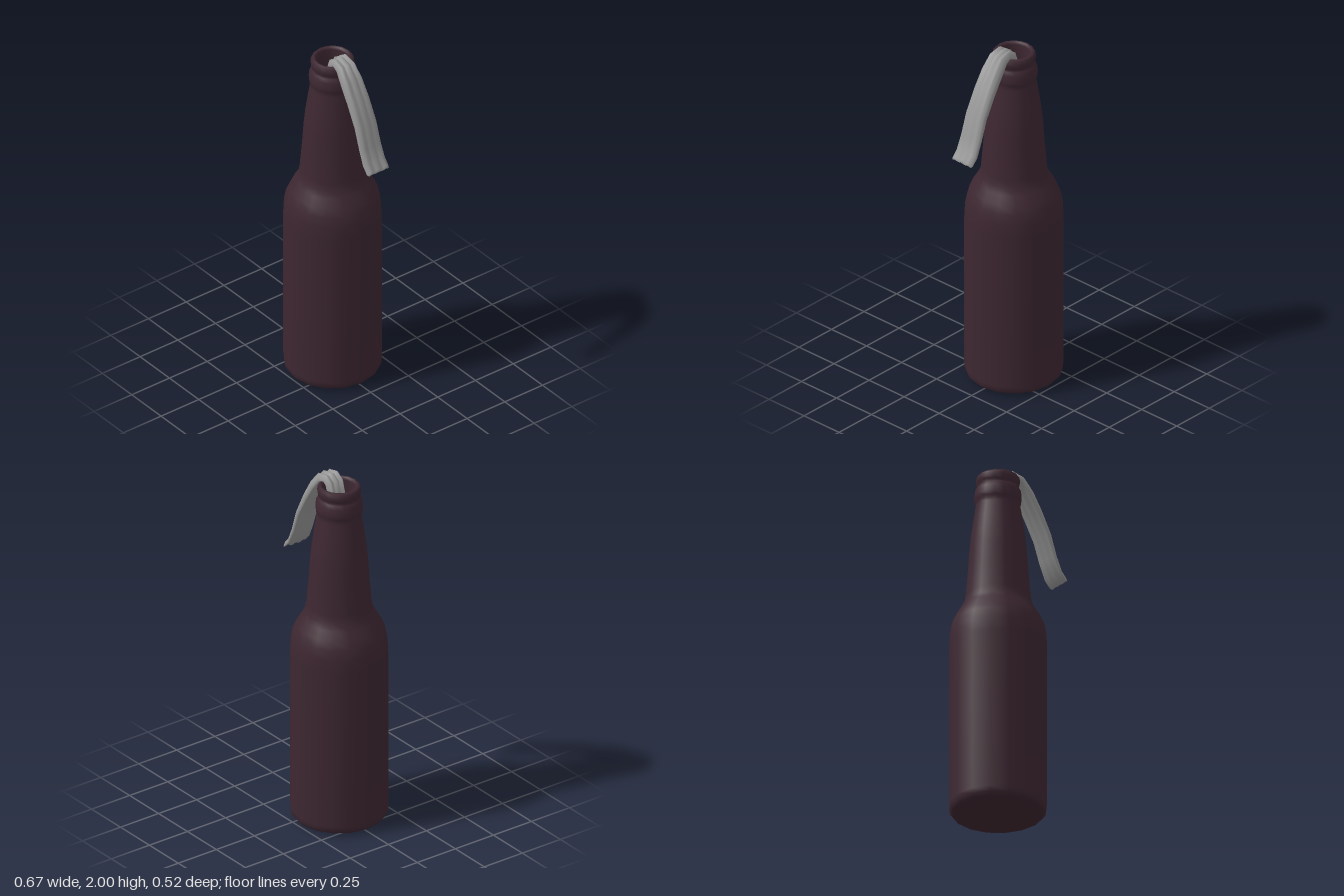
import * as THREE from 'three';

const AXIS_X = -0.075;
const SIDES = 16;

// Closed cloth strip lofted along rows of [x, y, halfWidth, halfThickness, foldDepth]
function clothGeometry(rows, around = 28) {
  const pos = [], index = [];
  rows.forEach(([x, y, hw, th, fold], i) => {
    const a = rows[Math.max(i - 1, 0)], b = rows[Math.min(i + 1, rows.length - 1)];
    const len = Math.hypot(b[0] - a[0], b[1] - a[1]);
    const tx = (b[0] - a[0]) / len, ty = (b[1] - a[1]) / len;
    for (let j = 0; j < around; j++) {
      const t = (j / around) * Math.PI * 2;
      const u = Math.cos(t), s = Math.sin(t);
      const v = Math.sign(s) * Math.pow(Math.abs(s), 0.6) * th + fold * Math.cos(3 * Math.PI * u);
      pos.push(x - ty * v, y + tx * v, u * hw + 0.003);
    }
  });
  for (let i = 0; i < rows.length - 1; i++) {
    for (let j = 0; j < around; j++) {
      const k = (j + 1) % around;
      const a = i * around + j, b = a + around, c = i * around + k, d = c + around;
      index.push(a, b, c, b, d, c);
    }
  }
  const geo = new THREE.BufferGeometry();
  geo.setAttribute('position', new THREE.Float32BufferAttribute(pos, 3));
  geo.setIndex(index);
  geo.computeVertexNormals();
  return geo;
}

export function createModel() {
  const group = new THREE.Group();
  group.name = 'bottleWithRag';

  const glass = new THREE.MeshStandardMaterial({ color: 0x3d2731 });
  glass.name = 'dark glass';
  const liquidMat = new THREE.MeshStandardMaterial({ color: 0x35270f });
  liquidMat.name = 'brown liquid';
  const clothMat = new THREE.MeshStandardMaterial({ color: 0x969696, side: THREE.DoubleSide });
  clothMat.name = 'grey cloth';

  // Bottle: base, body, shoulder, neck, collar, lip and inner neck wall
  const profile = [
    [0, 0.004], [0.16, 0.0], [0.22, 0.01], [0.243, 0.014], [0.256, 0.03], [0.26, 0.06],
    [0.26, 0.5], [0.26, 0.96], [0.256, 1.04], [0.245, 1.095], [0.225, 1.14], [0.198, 1.185],
    [0.18, 1.22], [0.173, 1.26], [0.161, 1.4], [0.153, 1.52], [0.144, 1.61], [0.131, 1.7],
    [0.119, 1.775], [0.117, 1.797], [0.124, 1.806], [0.126, 1.83], [0.122, 1.865], [0.112, 1.885],
    [0.106, 1.893], [0.113, 1.904], [0.117, 1.925], [0.113, 1.945], [0.104, 1.955],
    [0.092, 1.953], [0.086, 1.94], [0.085, 1.86], [0.088, 1.74],
  ].map(([r, y]) => new THREE.Vector2(r, y));
  const bottle = new THREE.Mesh(new THREE.LatheGeometry(profile, SIDES), glass);
  bottle.name = 'bottle';
  bottle.position.x = AXIS_X;
  group.add(bottle);

  // Liquid surface inside the neck
  const liquid = new THREE.Mesh(new THREE.CircleGeometry(0.088, SIDES), liquidMat);
  liquid.name = 'liquid';
  liquid.rotation.x = -Math.PI / 2;
  liquid.position.set(AXIS_X, 1.76, 0);
  group.add(liquid);

  // Rag: bunched in the mouth, over the lip, hanging down to the side
  const rag = new THREE.Mesh(clothGeometry([
    [-0.05, 1.77, 0.04, 0, 0],
    [-0.05, 1.78, 0.045, 0.016, 0.01],
    [-0.05, 1.90, 0.05, 0.018, 0.011],
    [-0.034, 1.95, 0.052, 0.018, 0.01],
    [-0.004, 1.972, 0.052, 0.018, 0.01],
    [0.045, 1.957, 0.057, 0.022, 0.009],
    [0.095, 1.892, 0.064, 0.026, 0.007],
    [0.15, 1.80, 0.066, 0.026, 0.004],
    [0.212, 1.68, 0.067, 0.022, 0.003],
    [0.25, 1.565, 0.068, 0.018, 0.003],
    [0.285, 1.485, 0.07, 0.016, 0.004],
    [0.318, 1.45, 0.071, 0.012, 0.006],
    [0.327, 1.443, 0.066, 0, 0.006],
  ]), clothMat);
  rag.name = 'rag';
  group.add(rag);

  return group;
}
